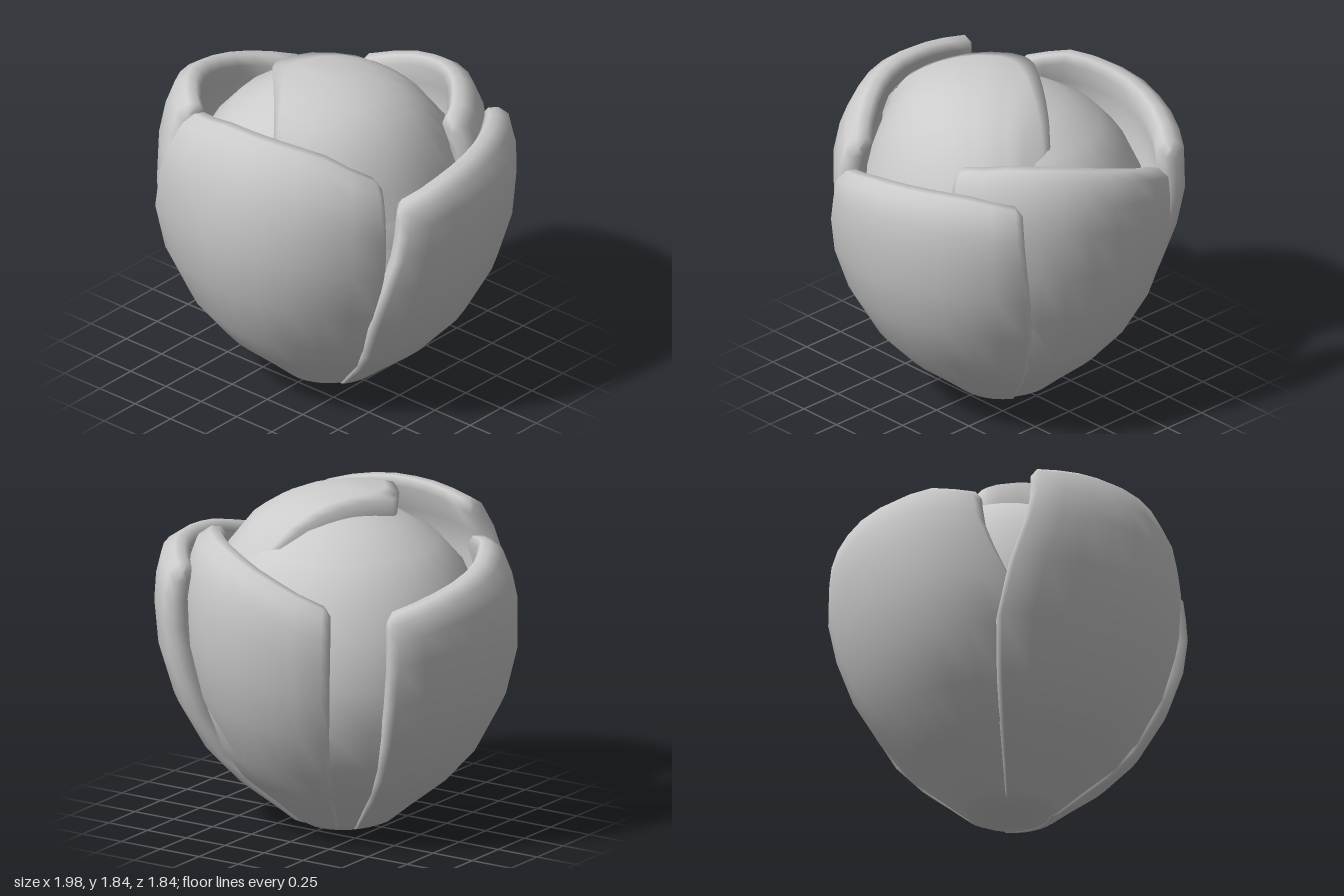
import * as THREE from 'three';

const lerp = THREE.MathUtils.lerp;
const rad = THREE.MathUtils.degToRad;

// Piecewise-linear lookup in a list of [x, value] pairs
function sample(pairs, x) {
  if (x <= pairs[0][0]) return pairs[0][1];
  for (let i = 1; i < pairs.length; i++) {
    const [x0, a] = pairs[i - 1], [x1, b] = pairs[i];
    if (x <= x1) return lerp(a, b, (x - x0) / (x1 - x0));
  }
  return pairs[pairs.length - 1][1];
}
const spread = (list, u) => sample(list.map((v, i) => [i / (list.length - 1), v]), u);

// Cup profile: height -> outer radius
const CUP = [[0, 0.2], [0.03, 0.27], [0.14, 0.4], [0.3, 0.6], [0.5, 0.765], [0.8, 0.905],
  [1.1, 0.97], [1.35, 0.965], [1.5, 0.93], [1.6, 0.88], [1.75, 0.8]];
// Heights of the rows of a petal, as fractions of its top
const ROWS = [0.005, 0.02, 0.085, 0.18, 0.3, 0.48, 0.66, 0.82, 0.92, 1];

function meshFrom(name, positions, index, material) {
  const g = new THREE.BufferGeometry();
  g.setAttribute('position', new THREE.Float32BufferAttribute(positions, 3));
  g.setIndex(index);
  g.computeVertexNormals();
  const mesh = new THREE.Mesh(g, material);
  mesh.name = name;
  return mesh;
}

// Thick petal: a closed radial cross-section swept around the cup.
// start / end: edge angles [low, high] in degrees (0 = front, 90 = +x);
// tops: rim heights and scale: radius factors, both from start to end.
function petal(name, { start, end, tops, scale }, material) {
  const N = 9, positions = [], index = [];
  for (let i = -1; i <= N + 1; i++) {
    const u = THREE.MathUtils.clamp(i / N, 0, 1);
    const tip = i < 0 ? -1 : i > N ? 1 : 0; // narrowed end column
    const inset = tip ? 0.045 : 0;
    const top = spread(tops, u) - inset, k = spread(scale, u);
    const put = (y, depth) => {
      const h = THREE.MathUtils.smoothstep(y / top, 0.4, 1);
      const a = rad(lerp(lerp(...start, h), lerp(...end, h), u) + tip * 2.5);
      const r = sample(CUP, y) * k - depth;
      positions.push(r * Math.sin(a), y, r * Math.cos(a));
    };
    const thick = y => lerp(0.04, 0.15, Math.min(1, y / 0.8));
    const edge = y => inset * Math.min(1, y / 0.8);
    const ys = ROWS.map(v => v * (top - 0.045));
    ys.forEach(y => put(y, edge(y)));
    put(top, 0.045 + inset * 0.4);
    put(top, 0.1 - inset * 0.4);
    ys.reverse().forEach(y => put(y, thick(y) - edge(y)));
  }
  const M = ROWS.length * 2 + 2, cols = N + 3;
  for (let i = 0; i < cols - 1; i++) {
    for (let j = 0; j < M; j++) {
      const a = i * M + j, b = i * M + (j + 1) % M;
      index.push(a, a + M, b, b, a + M, b + M);
    }
  }
  // Side caps between the outer and inner rows
  const last = (cols - 1) * M;
  for (let j = 0; j < M / 2 - 1; j++) {
    const p = M - 1 - j;
    index.push(j, j + 1, p, p, j + 1, p - 1);
    index.push(last + j, last + p, last + j + 1, last + p, last + p - 1, last + j + 1);
  }
  return meshFrom(name, positions, index, material);
}

// Inner petal folded over the top of the bud, with a V-shaped free edge
function foldedPetal(material) {
  const DOME = [[0, 1.85], [0.25, 1.815], [0.4, 1.75], [0.52, 1.665], [0.64, 1.5], [0.74, 1.25], [0.8, 0.95]];
  const free = new THREE.CatmullRomCurve3([[0.28, -0.6], [0.1, -0.46], [-0.1, -0.2], [-0.26, 0.07],
    [-0.26, 0.15], [-0.06, 0.38], [0.13, 0.6], [0.2, 0.72]]
    .map(([x, z]) => new THREE.Vector3(x, 0, z)), false, 'centripetal');
  const U = 20, V = 10, positions = [], index = [];
  for (let i = 0; i <= U; i++) {
    const p = free.getPoint(i / U);
    const a = lerp(rad(150), rad(8), i / U);
    const q = new THREE.Vector3(0.79 * Math.sin(a), 0, 0.79 * Math.cos(a));
    for (let j = -1; j <= V; j++) {
      const c = p.clone().lerp(q, Math.max(0, j) / V);
      const y = sample(DOME, Math.hypot(c.x, c.z - 0.1 * (1 - Math.max(0, j) / V)));
      // First row drops down to form the thickness of the free edge
      positions.push(c.x + (j < 0 ? 0.015 : 0), y - (j < 0 ? 0.13 : 0), c.z);
    }
  }
  const W = V + 2;
  for (let i = 0; i < U; i++) {
    for (let j = 0; j < W - 1; j++) {
      const a = i * W + j;
      index.push(a, a + W, a + 1, a + 1, a + W, a + W + 1);
    }
  }
  return meshFrom('foldedInnerPetal', positions, index, material);
}

export function createModel() {
  const group = new THREE.Group();
  group.name = 'flowerBud';
  const material = new THREE.MeshStandardMaterial({ color: 0xcccccc, side: THREE.DoubleSide });

  // Closed bud inside the cup, including the flat base
  const profile = [[0, 0], [0.2, 0], [0.255, 0.03], [0.38, 0.14], [0.57, 0.3], [0.7, 0.48], [0.78, 0.7],
    [0.8, 0.95], [0.75, 1.2], [0.65, 1.42], [0.52, 1.57], [0.33, 1.69], [0.15, 1.75], [0, 1.765]]
    .map(([x, y]) => new THREE.Vector2(x, y));
  const bud = new THREE.Mesh(new THREE.LatheGeometry(profile, 24), material);
  bud.name = 'innerBud';
  group.add(bud, foldedPetal(material));

  // Four overlapping outer petals
  const petals = {
    frontPetal: { start: [-42, -28], end: [60, 59],
      tops: [1.69, 1.73, 1.73, 1.69, 1.55], scale: [0.98, 0.945, 0.955, 0.95, 0.94] },
    leftPetal: { start: [59, 68], end: [144, 140],
      tops: [1.44, 1.51, 1.54, 1.55, 1.5], scale: [1.01, 1.02, 1.03, 1.04, 1.03] },
    backPetal: { start: [122, 117], end: [206, 207],
      tops: [1.61, 1.65, 1.63, 1.55, 1.43], scale: [0.86, 0.9, 0.94, 0.96, 0.97] },
    rightPetal: { start: [232, 232], end: [328, 307],
      tops: [1.4, 1.48, 1.55, 1.61, 1.57], scale: [1, 1.02, 1.03, 0.99, 0.89] },
  };
  for (const [name, spec] of Object.entries(petals)) group.add(petal(name, spec, material));
  return group;
}
